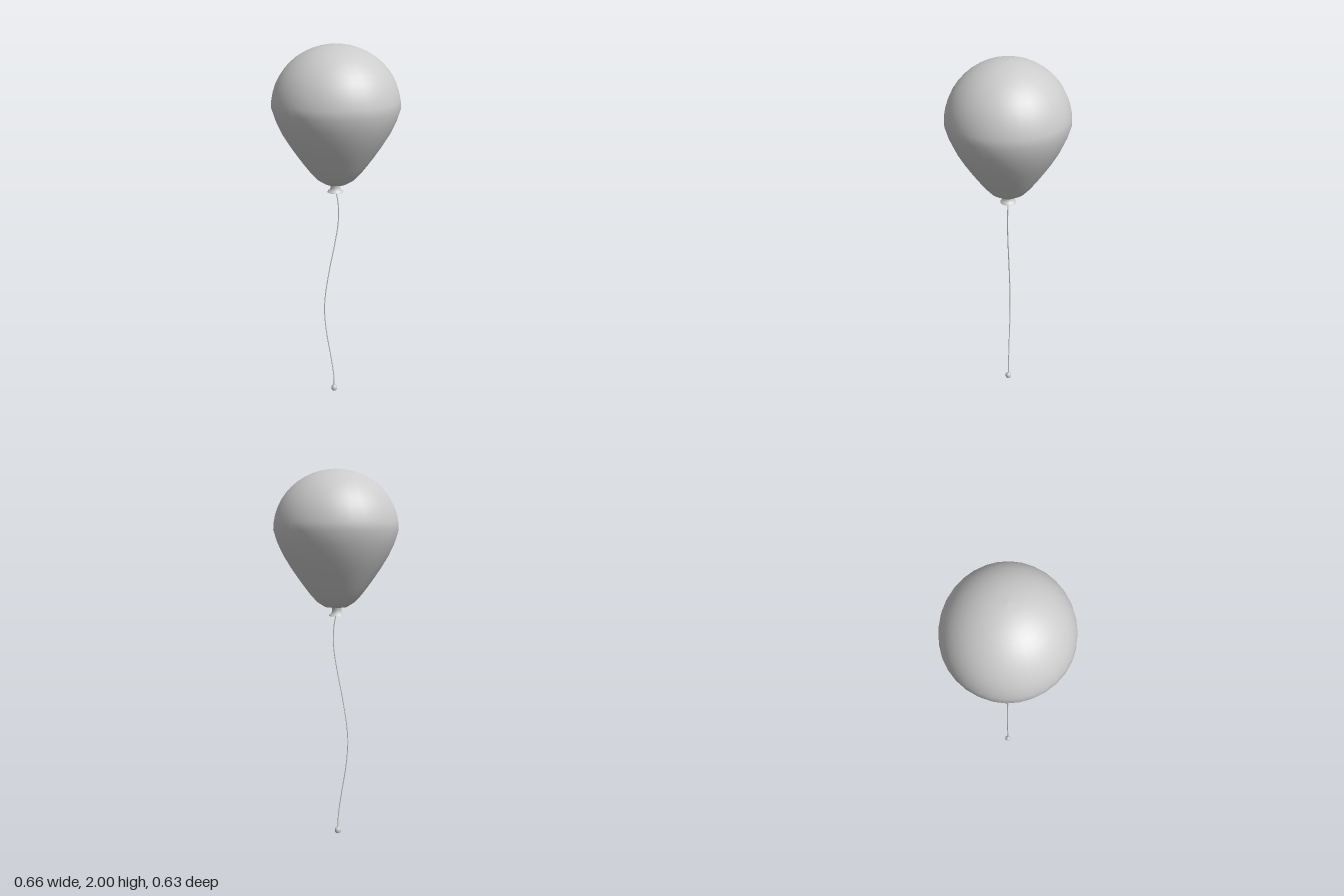
import * as THREE from 'three';

export function createModel() {
  const model = new THREE.Group();
  const grey = new THREE.MeshStandardMaterial({ color: 0xcccccc });
  grey.name = 'light grey';

  function add(name, geometry, x = 0, y = 0) {
    const mesh = new THREE.Mesh(geometry, grey);
    mesh.name = name;
    mesh.position.set(x, y, 0);
    model.add(mesh);
    return mesh;
  }
  // Profiles run from bottom to top so that faces point outward
  const lathe = (pairs, sides) =>
    new THREE.LatheGeometry(pairs.map(([r, y]) => new THREE.Vector2(r, y)), sides);
  const disc = (radius, sides) => new THREE.CircleGeometry(radius, sides).rotateX(Math.PI / 2);

  // Balloon: tapering lower half under a domed top, slightly flattened in z
  const profile = [
    [0.02, 1.285], [0.06, 1.287], [0.1, 1.312], [0.135, 1.35], [0.17, 1.396],
    [0.205, 1.445], [0.24, 1.497], [0.278, 1.56], [0.308, 1.625],
  ];
  const steps = 12;
  for (let i = 0; i <= steps; i++) {
    const a = (i / steps) * Math.PI / 2;
    profile.push([i === steps ? 0 : 0.328 * Math.cos(a), 1.69 + 0.31 * Math.sin(a)]);
  }
  add('balloon', lathe(profile, 32)).scale.z = 0.955;

  // Neck flaring into the rolled lip, closed underneath
  add('neck', lathe([
    [0.042, 1.238], [0.04, 1.243], [0.031, 1.25], [0.025, 1.26], [0.025, 1.275], [0.03, 1.292],
  ], 20), -0.003);
  add('neckBottom', disc(0.042, 20), -0.003, 1.238);

  // Wavy string
  const path = new THREE.CatmullRomCurve3([
    [0, 1.245], [0.011, 1.18], [0.0145, 1.12], [0.011, 1.05], [-0.005, 0.945], [-0.035, 0.785],
    [-0.06, 0.62], [-0.065, 0.52], [-0.055, 0.39], [-0.03, 0.23], [-0.013, 0.1], [-0.01, 0.02],
  ].map(([x, y]) => new THREE.Vector3(x, y, 0)));
  add('string', new THREE.TubeGeometry(path, 64, 0.003, 6));

  // Small flat-bottomed knot at the end of the string
  add('knot', lathe([[0.014, 0], [0.018, 0.01], [0.017, 0.02], [0.011, 0.03], [0, 0.035]], 10), -0.01);
  add('knotBottom', disc(0.014, 10), -0.01);

  return model;
}
